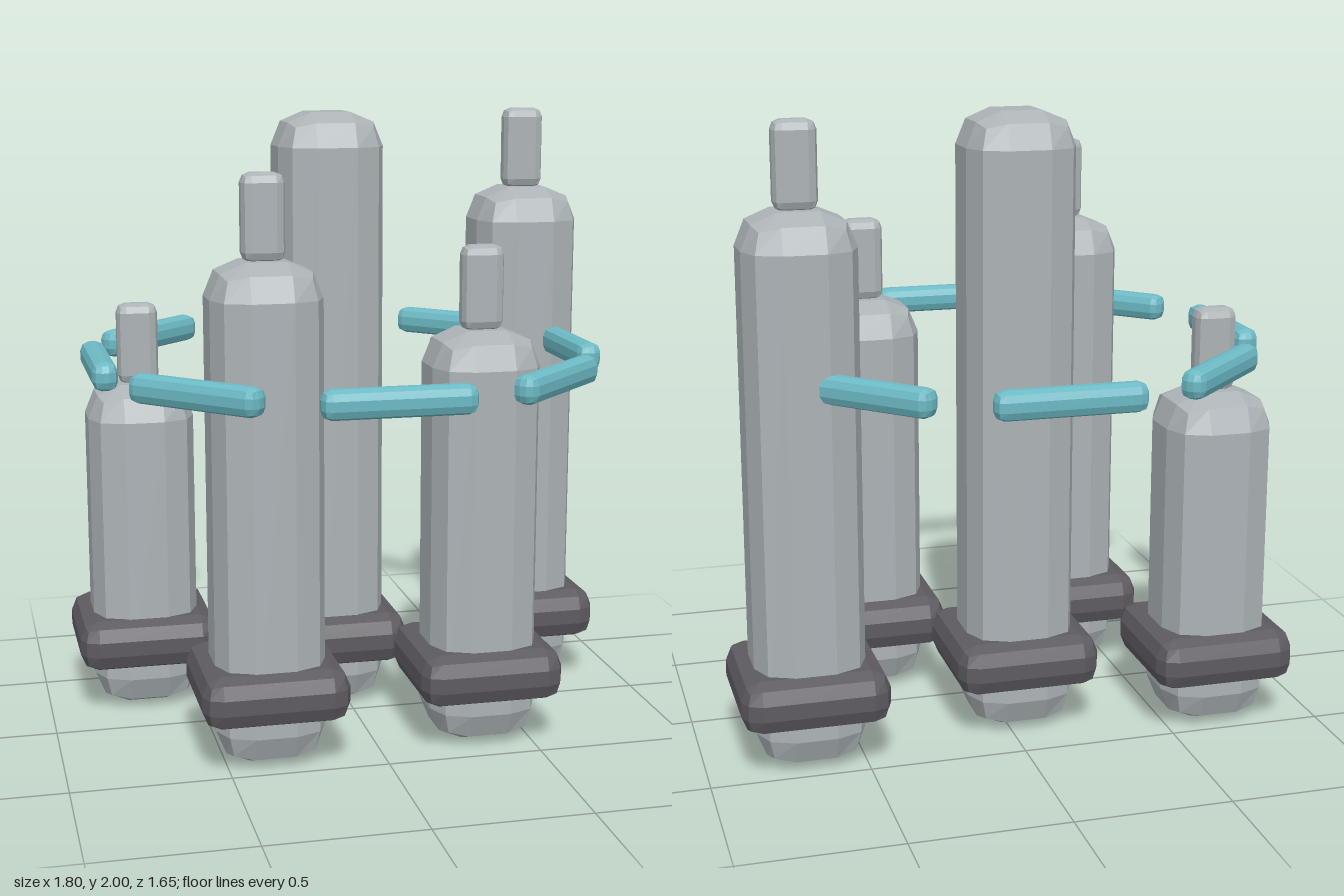
import * as THREE from 'three';
import { RoundedBoxGeometry } from 'three/addons/geometries/RoundedBoxGeometry.js';

function makeMaterial(name, color) {
  const material = new THREE.MeshStandardMaterial({ color, flatShading: true });
  material.name = name;
  return material;
}

// Box with faceted two-step bevels, placed by its centre
function block(name, size, radius, material, x, y, z) {
  const mesh = new THREE.Mesh(new RoundedBoxGeometry(...size, 1, radius), material);
  mesh.name = name;
  mesh.position.set(x, y, z);
  return mesh;
}

export function createModel() {
  const model = new THREE.Group();
  model.name = 'towerCluster';
  const grey = makeMaterial('light grey', 0xacb3b6);
  const dark = makeMaterial('dark grey', 0x5e5b61);
  const teal = makeMaterial('teal', 0x6cbac5);

  // Towers: x, z, body height, has antenna
  const towers = [
    [-0.045, -0.2, 2.0, false],
    [-0.67, -0.32, 1.105, true],
    [-0.355, 0.31, 1.58, true],
    [0.35, 0.27, 1.34, true],
    [0.665, -0.315, 1.735, true],
  ];
  for (const [x, z, height, hasAntenna] of towers) {
    const tower = new THREE.Group();
    tower.name = 'tower';
    tower.position.set(x, 0, z);
    tower.add(block('towerBody', [0.35, height, 0.35], 0.11, grey, 0, height / 2, 0));
    tower.add(block('collar', [0.465, 0.17, 0.465], 0.06, dark, 0, 0.24, 0));
    if (hasAntenna) {
      tower.add(block('antenna', [0.135, 0.27, 0.09], 0.03, grey, 0, height + 0.13, 0));
    }
    model.add(tower);
  }

  // Broken ring of eight floating bars around the central tower
  const ring = new THREE.Group();
  ring.name = 'barRing';
  ring.position.set(-0.045, 1.22, -0.005);
  for (let i = 0; i < 8; i++) {
    const angle = (i * Math.PI) / 4;
    const bar = block('ringBar', [0.465, 0.09, 0.08], 0.03, teal,
      Math.sin(angle) * 0.784, 0, Math.cos(angle) * 0.784);
    bar.rotation.y = angle;
    ring.add(bar);
  }
  model.add(ring);

  return model;
}
